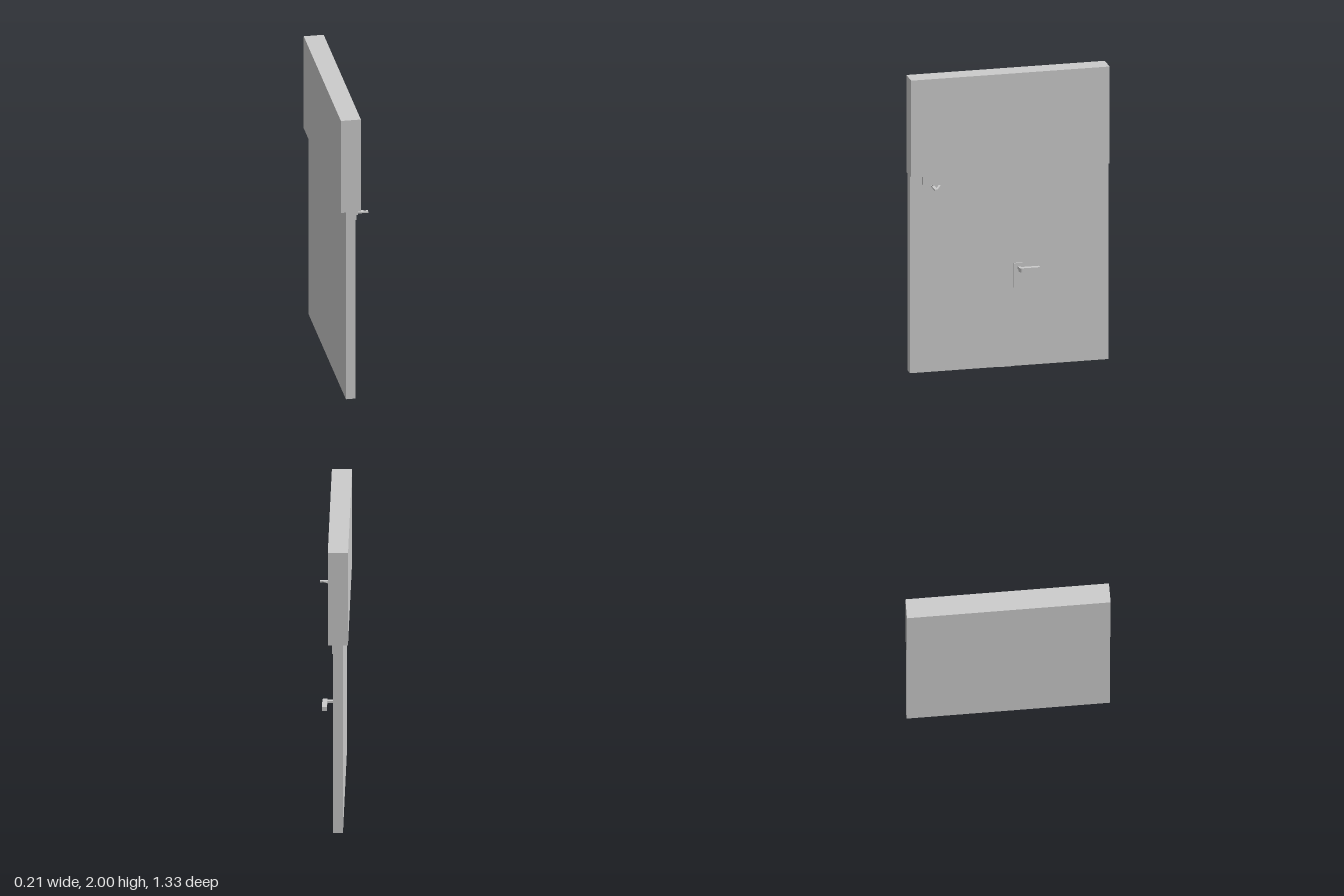
import * as THREE from 'three';

const material = new THREE.MeshStandardMaterial({ color: 0xcccccc });

export function createModel() {
  const root = new THREE.Group();

  const add = (name, geometry, parent = root) => {
    const mesh = new THREE.Mesh(geometry, material);
    mesh.name = name;
    parent.add(mesh);
    return mesh;
  };
  // Box given by its limits on each axis
  const box = (name, [x0, x1], [y0, y1], [z0, z1], parent) => {
    const mesh = add(name, new THREE.BoxGeometry(x1 - x0, y1 - y0, z1 - z0), parent);
    mesh.position.set((x0 + x1) / 2, (y0 + y1) / 2, (z0 + z1) / 2);
    return mesh;
  };
  const group = (name) => {
    const g = new THREE.Group();
    g.name = name;
    root.add(g);
    return g;
  };

  const side = 0.665, eave = 1.34, doorFace = -0.007, frameFace = -0.001;

  // Wall block over the door
  box('upperPanel', [-0.105, 0.027], [eave, 2], [-side, side]);

  // Door slab with the slightly raised head rail and meeting strip
  box('doorSlab', [-0.072, doorFace], [0, eave], [-side, side]);
  box('headRail', [doorFace, frameFace], [1.28, eave], [-side, side]);
  box('meetingStrip', [doorFace, frameFace], [0, 1.28], [-0.01, 0.066]);

  // Door closer: body, spindle and folding arm
  const closer = group('doorCloser');
  box('closerBody', [frameFace, 0.024], [1.28, eave], [0.46, 0.585], closer);
  const spindle = add('closerSpindle', new THREE.CylinderGeometry(0.007, 0.007, 0.014, 12), closer);
  spindle.position.set(0.013, 1.273, 0.515);
  box('closerArm', [-0.003, 0.102], [1.26, 1.27], [0.505, 0.525], closer);
  const start = new THREE.Vector2(0, 0.468), end = new THREE.Vector2(0.092, 0.512);
  const link = add('closerLink', new THREE.BoxGeometry(start.distanceTo(end), 0.006, 0.011), closer);
  link.position.set((start.x + end.x) / 2, 1.265, (start.y + end.y) / 2);
  link.rotation.y = -Math.atan2(end.y - start.y, end.x - start.x);

  // Lever handle: plate, neck and a grip with a rounded outer corner
  const handle = group('doorHandle');
  box('handlePlate', [doorFace, 0.003], [0.535, 0.7], [-0.09, -0.03], handle);
  box('handleNeck', [0.002, 0.045], [0.661, 0.677], [-0.074, -0.054], handle);
  const outline = new THREE.Shape();
  outline.moveTo(0.042, 0.052);
  outline.lineTo(0.056, 0.052);
  outline.quadraticCurveTo(0.074, 0.052, 0.074, 0.07);
  outline.lineTo(0.074, 0.188);
  outline.lineTo(0.042, 0.188);
  outline.closePath();
  const gripGeometry = new THREE.ExtrudeGeometry(outline, { depth: 0.028, bevelEnabled: false, curveSegments: 6 });
  gripGeometry.rotateX(-Math.PI / 2);
  add('handleGrip', gripGeometry, handle).position.y = 0.656;

  return root;
}
